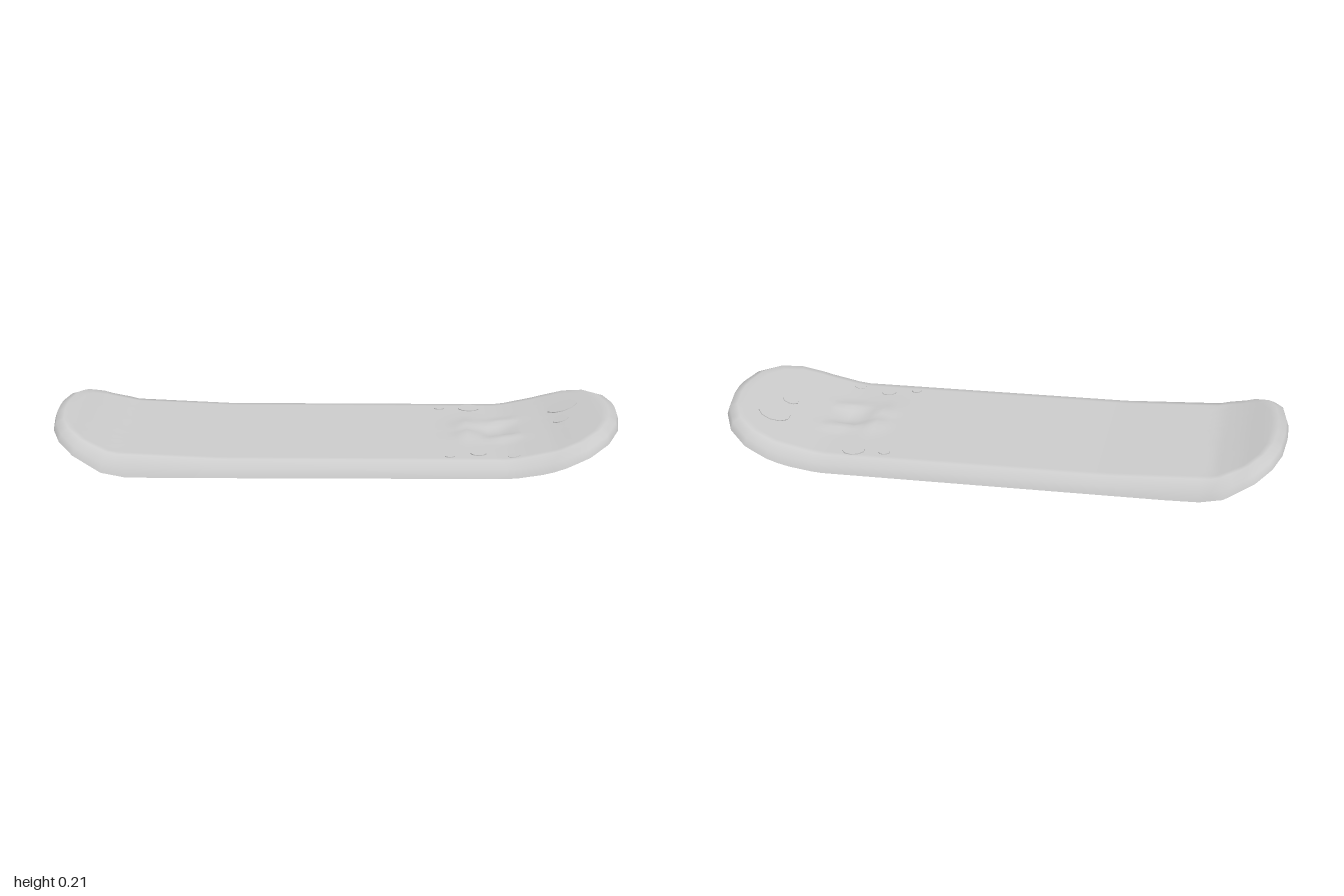
import * as THREE from 'three';
import { mergeVertices } from 'three/addons/utils/BufferGeometryUtils.js';

const SPINE = 0.65;
// half outline of the deck, from the right end to the left end (x, z)
const OUTLINE = [[1, 0], [0.997, 0.06], [0.98, 0.17], [0.935, 0.27], [0.865, 0.335], [0.78, 0.36],
  [-0.8, 0.36], [-0.9, 0.32], [-0.955, 0.26], [-0.985, 0.18], [-0.999, 0.06], [-1, 0]];
const BASE = [[-1, 0.18], [-0.9, 0.125], [-0.8, 0.078], [-0.72, 0.062], [-0.6, 0.06], [0.6, 0.06],
  [0.72, 0.078], [0.82, 0.112], [0.9, 0.142], [1, 0.18]];
const TOP = [[-1, 0.222], [-0.94, 0.204], [-0.85, 0.163], [-0.76, 0.133], [-0.4, 0.116], [0.6, 0.114],
  [0.75, 0.145], [0.85, 0.178], [0.93, 0.204], [1, 0.22]];
const KEEL = [[-0.84, 0], [-0.65, 0.035], [-0.45, 0.05], [-0.2, 0.059], [0, 0.055], [0.2, 0.04],
  [0.35, 0.003], [0.5, 0.03], [0.6, 0.031], [0.72, 0.02], [0.8, 0]];

function sample(table, x) {
  if (x <= table[0][0]) return table[0][1];
  for (let i = 1; i < table.length; i++) {
    const [x0, y0] = table[i - 1], [x1, y1] = table[i];
    if (x <= x1) return y0 + (y1 - y0) * (x - x0) / (x1 - x0);
  }
  return table[table.length - 1][1];
}
const bell = (x, z, cx, cz, rx, rz) => Math.exp(-(((x - cx) / rx) ** 2) - ((z - cz) / rz) ** 2);

// crumpled patch on the nose end of the deck
function crumple(x, z) {
  const a = Math.abs(z);
  return 0.016 * bell(x, a, 0.47, 0.05, 0.035, 0.07) + 0.014 * bell(x, a, 0.59, 0.09, 0.05, 0.03)
    - 0.012 * bell(x, z, 0.56, 0, 0.05, 0.06);
}
const topY = (x, z) => sample(TOP, x) + crumple(x, z);
const bottomY = (x, z) =>
  sample(BASE, x) - sample(KEEL, x) * (1 - THREE.MathUtils.smoothstep(Math.abs(z), 0.04, 0.28));

// closed plan loop with extra points on the long sides
function planLoop() {
  const half = [];
  for (let i = 0; i < OUTLINE.length - 1; i++) {
    const [x0, z0] = OUTLINE[i], [x1, z1] = OUTLINE[i + 1];
    const n = Math.max(1, Math.round(Math.hypot(x1 - x0, z1 - z0) / 0.04));
    for (let k = 0; k < n; k++) half.push([x0 + (x1 - x0) * k / n, z0 + (z1 - z0) * k / n]);
  }
  half.push([-1, 0]);
  return half.concat(half.slice(1, -1).reverse().map(([x, z]) => [x, -z]));
}

// surface woven from loops that shrink towards the spine
function loopSurface(rings, heightAt, up) {
  const loop = planLoop(), n = loop.length, pos = [], index = [];
  rings.forEach((t, r) => loop.forEach(([x, z]) => {
    const s = THREE.MathUtils.clamp(x, -SPINE, SPINE);
    const px = s + (x - s) * t, pz = z * t;
    pos.push(px, heightAt(px, pz, r), pz);
  }));
  for (let r = 0; r < rings.length - 1; r++) for (let i = 0; i < n; i++) {
    const a = r * n + i, b = r * n + (i + 1) % n, c = a + n, d = b + n;
    if (up) index.push(a, c, b, b, c, d);
    else index.push(a, b, c, b, d, c);
  }
  // orient by the sign of the area seen from above
  let g = new THREE.BufferGeometry();
  g.setAttribute('position', new THREE.Float32BufferAttribute(pos, 3));
  g.setIndex(index);
  g = mergeVertices(g, 1e-5);
  g.computeVertexNormals();
  const normals = g.attributes.normal;
  let sum = 0;
  for (let i = 0; i < normals.count; i++) sum += normals.getY(i);
  if ((sum > 0) !== up) {
    g.setIndex(Array.from(g.index.array).reverse());
    g.computeVertexNormals();
  }
  return g;
}

export function createModel() {
  const model = new THREE.Group();
  const material = new THREE.MeshStandardMaterial({ color: 0xcccccc, side: THREE.DoubleSide });
  const add = (geometry, name) => {
    const mesh = new THREE.Mesh(geometry, material);
    mesh.name = name;
    model.add(mesh);
    return mesh;
  };

  // deck with its bevelled rail
  const deckRings = [1, 0.975, 0.9, 0.83, 0.74, 0.65, 0.56, 0.47, 0.38, 0.3, 0.22, 0.15, 0.07, 0];
  add(loopSurface(deckRings, (x, z, r) => {
    if (r === 0) return sample(BASE, x);
    if (r === 1) return sample(BASE, x) + 0.03;
    return topY(x, z);
  }, true), 'deck');

  // keeled underside
  const hullRings = [1, 0.9, 0.8, 0.7, 0.6, 0.5, 0.4, 0.3, 0.2, 0.1, 0];
  add(loopSurface(hullRings, bottomY, false), 'underside');

  // round studs showing on both faces (x, z, radius)
  const studs = [[0.49, -0.27, 0.04], [0.38, -0.27, 0.02], [0.82, -0.125, 0.058], [0.8, 0.01, 0.03],
    [0.49, 0.25, 0.028], [0.61, 0.28, 0.022], [0.39, 0.28, 0.018]];
  const up = new THREE.Vector3(0, 1, 0);
  for (const [x, z, radius] of studs) for (const height of [topY, bottomY]) {
    const stud = add(new THREE.CylinderGeometry(radius, radius, 0.006, 10), 'stud');
    const e = 0.02;
    const normal = new THREE.Vector3(height(x - e, z) - height(x + e, z), 2 * e,
      height(x, z - e) - height(x, z + e)).normalize();
    stud.position.set(x, height(x, z), z);
    stud.quaternion.setFromUnitVectors(up, normal);
  }
  return model;
}
